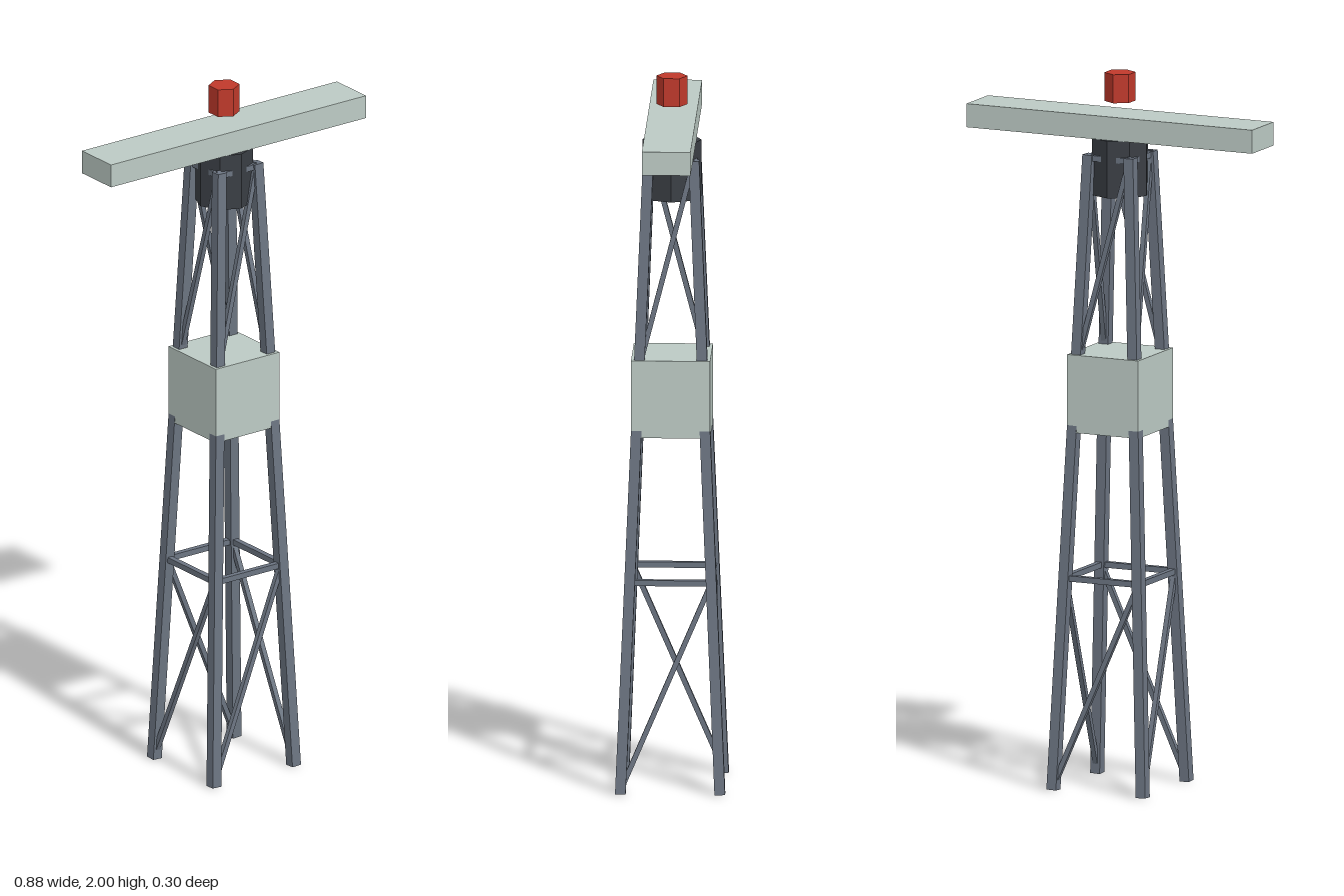
import * as THREE from 'three';

export function createModel() {
  const model = new THREE.Group();
  model.name = 'radarTower';

  const paint = (name, color) => {
    const m = new THREE.MeshStandardMaterial({ color, flatShading: true });
    m.name = name;
    return m;
  };
  const steel = paint('steel', 0x6c7582);
  const dark = paint('darkMetal', 0x3a3e44);
  const panel = paint('palePanel', 0xbccac4);
  const red = paint('beaconRed', 0xc0392b);

  const add = (name, geometry, material, y = 0) => {
    const mesh = new THREE.Mesh(geometry, material);
    mesh.name = name;
    mesh.position.y = y;
    model.add(mesh);
    return mesh;
  };

  // Square bar running from a to b
  const UP = new THREE.Vector3(0, 1, 0);
  const bar = (name, a, b, size) => {
    const d = b.clone().sub(a);
    const mesh = add(name, new THREE.BoxGeometry(size, d.length(), size), steel);
    mesh.position.copy(a).add(b).multiplyScalar(0.5);
    mesh.quaternion.setFromUnitVectors(UP, d.normalize());
  };

  // Centre line of leg i at height y; the tower tapers upwards
  const TOP = 1.775, STEP = 0.592;
  const corners = [[-1, 1], [1, 1], [1, -1], [-1, -1]];
  const at = (i, y) => {
    const r = THREE.MathUtils.lerp(0.137, 0.063, y / TOP);
    const [x, z] = corners[i % 4];
    return new THREE.Vector3(x * r, y, z * r);
  };

  for (let i = 0; i < 4; i++) {
    bar('leg', at(i, 0.001), at(i, TOP), 0.029);
    // Horizontal rungs at each level
    for (let level = 1; level <= 3; level++) {
      const y = level * STEP - (level === 3 ? 0.01 : 0);
      bar('rung', at(i, y), at(i + 1, y), 0.016);
    }
    // One diagonal per face, winding round the tower, in the bottom and top bays
    for (const bay of [0, 2]) {
      bar('diagonalBrace', at(i, bay * STEP + 0.01), at(i + 1, (bay + 1) * STEP), 0.014);
    }
  }

  // Equipment cabin, turning hub, antenna and beacon
  add('cabin', new THREE.BoxGeometry(0.218, 0.218, 0.218), panel, 1.109);
  add('hub', new THREE.CylinderGeometry(0.081, 0.081, 0.16, 8), dark, 1.74);
  add('antennaBar', new THREE.BoxGeometry(0.876, 0.066, 0.134), panel, 1.853);
  add('beacon', new THREE.CylinderGeometry(0.043, 0.043, 0.08, 6), red, 1.96);

  return model;
}
